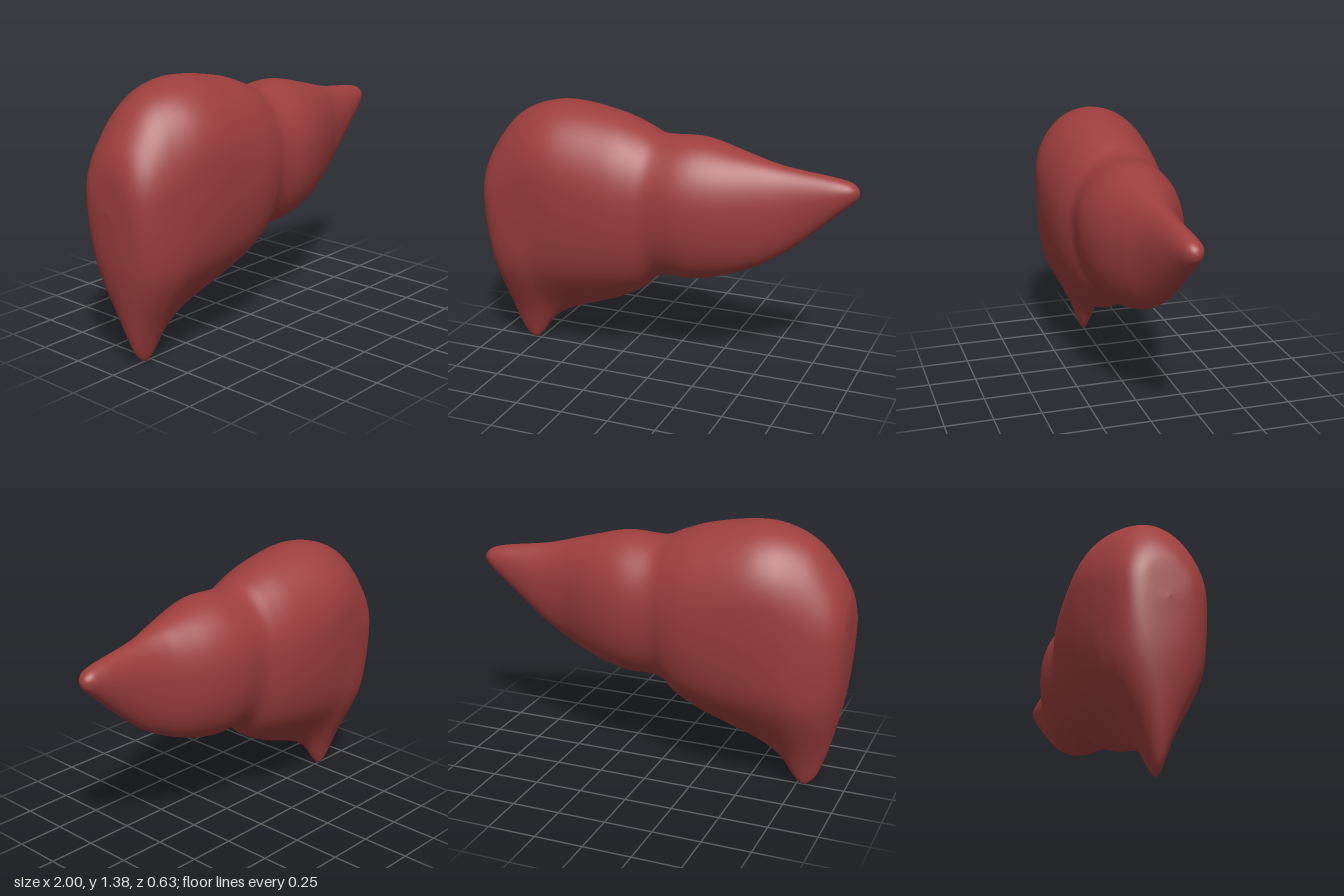
import * as THREE from 'three';

// Smooth profile over x, returned as a function giving its value at any x
function profile(...points) {
  const curve = new THREE.CatmullRomCurve3(points.map(([x, v]) => new THREE.Vector3(x, v, 0)));
  return (x) => {
    let low = 0, high = 1;
    for (let i = 0; i < 24; i++) {
      const t = (low + high) / 2;
      if (curve.getPoint(t).x < x) low = t;
      else high = t;
    }
    return curve.getPoint((low + high) / 2).y;
  };
}

// Upper edge, lower edge and half thickness
const topAt = profile(
  [-1, 0.8], [-0.98, 1.04], [-0.9, 1.19], [-0.78, 1.312], [-0.57, 1.378], [-0.25, 1.338], [-0.11, 1.29],
  [-0.02, 1.253], [0.2, 1.254], [0.42, 1.202], [0.62, 1.149], [0.9, 1.107], [0.96, 1.09], [0.99, 1.066],
  [1, 1.04]);
const bottomAt = profile(
  [-1, 0.8], [-0.97, 0.48], [-0.88, 0.13], [-0.83, 0.03], [-0.78, 0], [-0.73, 0.045], [-0.67, 0.13],
  [-0.57, 0.205], [-0.25, 0.332], [-0.11, 0.41], [-0.02, 0.491], [0.2, 0.508], [0.42, 0.575],
  [0.62, 0.685], [0.9, 0.925], [0.965, 0.985], [0.99, 1.012], [1, 1.04]);
const depthAt = profile(
  [-1, 0], [-0.985, 0.145], [-0.93, 0.212], [-0.78, 0.267], [-0.57, 0.311], [-0.4, 0.316], [-0.2, 0.3],
  [-0.1, 0.276], [-0.03, 0.256], [0.15, 0.261], [0.3, 0.231], [0.6, 0.114], [0.9, 0.063], [0.96, 0.048],
  [0.99, 0.025], [1, 0]);

// Egg-shaped cross-sections joined along x, closing to a point at both ends
function loftLobes(rows = 160, sides = 72) {
  const positions = [], index = [];
  for (let i = 0; i <= rows; i++) {
    const x = -Math.cos((i / rows) * Math.PI);
    const top = topAt(x), bottom = bottomAt(x), depth = depthAt(x);
    // The large lobe is widest higher up
    const widest = THREE.MathUtils.lerp(bottom, top, 0.57 + 0.14 * Math.exp(-(((x + 0.7) / 0.35) ** 2)));
    // The thin end bends backwards
    const zCentre = -0.08 * Math.max(0, x - 0.5);
    for (let j = 0; j < sides; j++) {
      const angle = (j / sides) * Math.PI * 2;
      const s = Math.sin(angle);
      const y = widest + s * (s > 0 ? top - widest : widest - bottom);
      // Squeeze towards the hanging tip
      const squeeze = 0.35 + 0.65 * THREE.MathUtils.smoothstep(y, 0, 0.56);
      positions.push(x, y, zCentre + Math.cos(angle) * depth * squeeze);
      if (i < rows) {
        const a = i * sides + j, b = i * sides + (j + 1) % sides;
        index.push(a, a + sides, b, b, a + sides, b + sides);
      }
    }
  }
  const geometry = new THREE.BufferGeometry();
  geometry.setAttribute('position', new THREE.Float32BufferAttribute(positions, 3));
  geometry.setIndex(index);
  geometry.computeVertexNormals();
  return geometry;
}

export function createModel() {
  const group = new THREE.Group();
  group.name = 'liver';
  // Large lobe, waist and tapering small lobe in one smooth skin
  const lobes = new THREE.Mesh(loftLobes(), new THREE.MeshStandardMaterial({ color: 0x9e3e3e }));
  lobes.name = 'lobes';
  group.add(lobes);
  return group;
}
